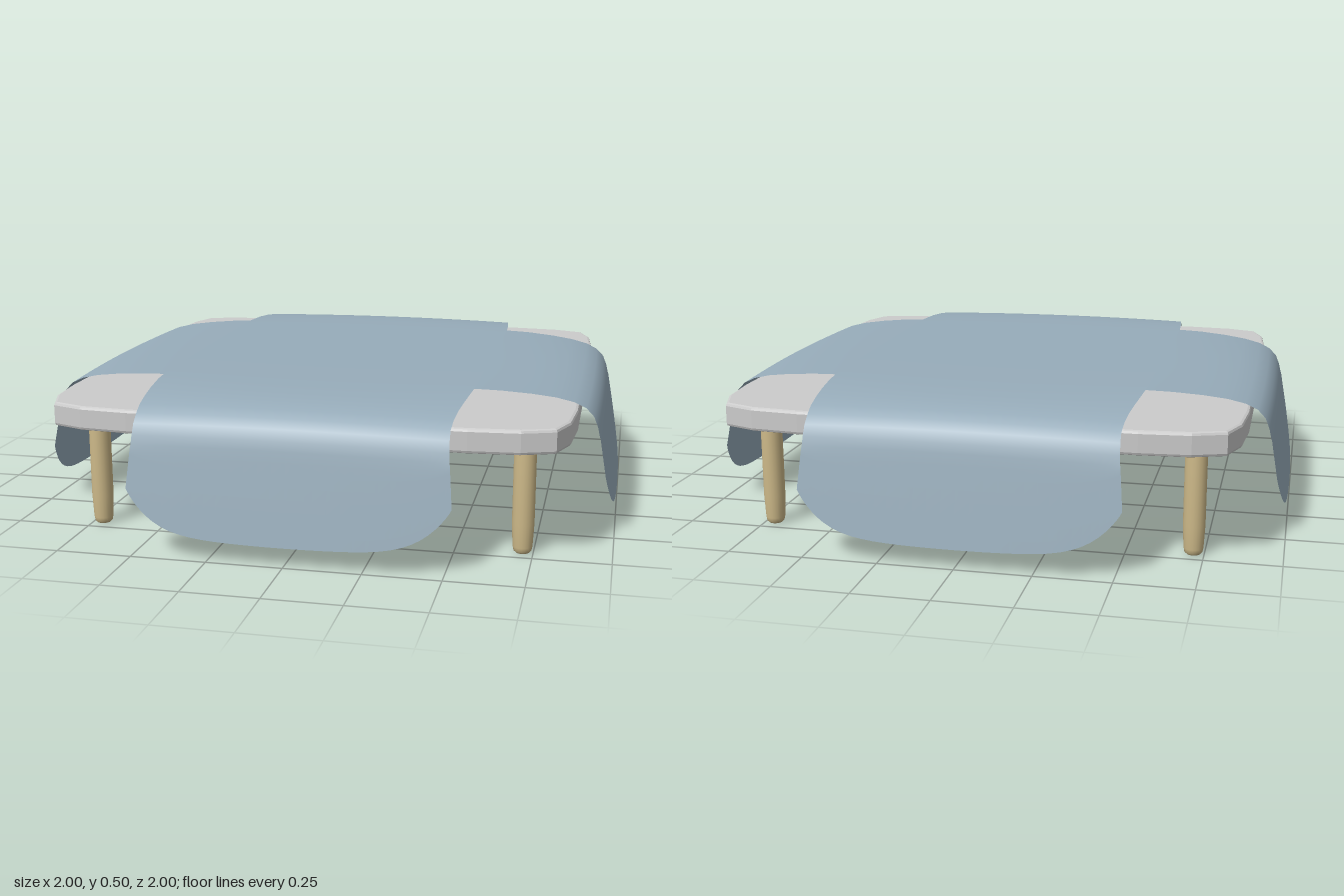
import * as THREE from 'three';

const clothMat = new THREE.MeshStandardMaterial({ color: 0x97acba, side: THREE.DoubleSide });
const legMat = new THREE.MeshStandardMaterial({ color: 0xccb888 });
const greyMat = new THREE.MeshStandardMaterial({ color: 0xcccccc });

// Half profile of a draped cloth: [distance from centre, height, half width]
const DRAPE = [
  [0, 0.5, 0.535], [0.25, 0.5, 0.535], [0.5, 0.499, 0.535], [0.62, 0.497, 0.528], [0.72, 0.492, 0.519],
  [0.8, 0.484, 0.511], [0.86, 0.471, 0.506], [0.9, 0.452, 0.503], [0.926, 0.425, 0.504], [0.94, 0.39, 0.506],
  [0.947, 0.36, 0.508],
];
const FLAP_ROWS = 8, COLS = 36;

// Point on the cloth: row 0 is the centre, the last row is the rounded hem
function clothPoint(row, v) {
  const bend = DRAPE.length - 1;
  let [d, y, w] = DRAPE[Math.min(row, bend)];
  if (row > bend) {
    const hem = 0.065 + 0.02 * v * v + 0.13 * Math.abs(v) ** 6;
    y = THREE.MathUtils.lerp(0.36, hem, (row - bend) / FLAP_ROWS);
    const drop = (0.36 - y) / 0.295;
    d += 0.053 * drop;
    w += 0.014 * Math.min(1, drop * 1.8);
  }
  const droop = THREE.MathUtils.smoothstep(d, 0.5, 0.9) * v * v;
  return [w * v, y - 0.008 * droop * (row > bend ? 0 : 1), d - 0.008 * droop];
}

function clothGeometry() {
  const rows = DRAPE.length - 1 + FLAP_ROWS;
  const positions = [], index = [];
  for (let r = -rows; r <= rows; r++) {
    for (let c = 0; c <= COLS; c++) {
      const v = Math.sin((c / COLS - 0.5) * Math.PI);
      const [x, y, d] = clothPoint(Math.abs(r), v);
      positions.push(x, y, Math.sign(r) * d);
    }
  }
  for (let r = 0; r < rows * 2; r++) {
    for (let c = 0; c < COLS; c++) {
      const a = r * (COLS + 1) + c, b = a + COLS + 1;
      index.push(a, b, a + 1, b, b + 1, a + 1);
    }
  }
  const geo = new THREE.BufferGeometry();
  geo.setAttribute('position', new THREE.Float32BufferAttribute(positions, 3));
  geo.setIndex(index);
  geo.computeVertexNormals();
  return geo;
}

// Slab with softly bowed sides and faceted round corners
function slabGeometry() {
  const corner = [[0.859, 0.55], [0.846, 0.71], [0.81, 0.81], [0.71, 0.846], [0.55, 0.859]];
  const outline = [];
  for (let q = 0; q < 4; q++) {
    for (const [x, y] of corner) {
      outline.push(new THREE.Vector2(x, y).rotateAround(new THREE.Vector2(), q * Math.PI / 2));
    }
  }
  const geo = new THREE.ExtrudeGeometry(new THREE.Shape(outline), {
    depth: 0.06, bevelThickness: 0.01, bevelSize: 0.01, bevelSegments: 2,
  });
  geo.rotateX(-Math.PI / 2);
  geo.translate(0, 0.375, 0);
  return geo;
}

export function createModel() {
  const model = new THREE.Group();
  const add = (name, geometry, material) => {
    const mesh = new THREE.Mesh(geometry, material);
    mesh.name = name;
    model.add(mesh);
    return mesh;
  };

  add('tableTop', slabGeometry(), greyMat);

  // Two crossing cloths, the sideways one just underneath
  const cloth = clothGeometry();
  add('upperCloth', cloth, clothMat);
  const lower = add('lowerCloth', cloth, clothMat);
  lower.rotation.y = Math.PI / 2;
  lower.position.y = -0.006;

  // Round legs with softened feet
  const profile = [[0, 0], [0.022, 0.001], [0.029, 0.008], [0.032, 0.022], [0.036, 0.1], [0.036, 0.34], [0.03, 0.368]];
  const leg = new THREE.LatheGeometry(profile.map(([r, y]) => new THREE.Vector2(r, y)), 20);
  for (const [side, x] of [['Left', 0.715], ['Right', -0.715]]) {
    add('front' + side + 'Leg', leg, legMat).position.set(x, 0, 0.695);
    add('back' + side + 'Leg', leg, legMat).position.set(x, 0, -0.695);
  }
  return model;
}
